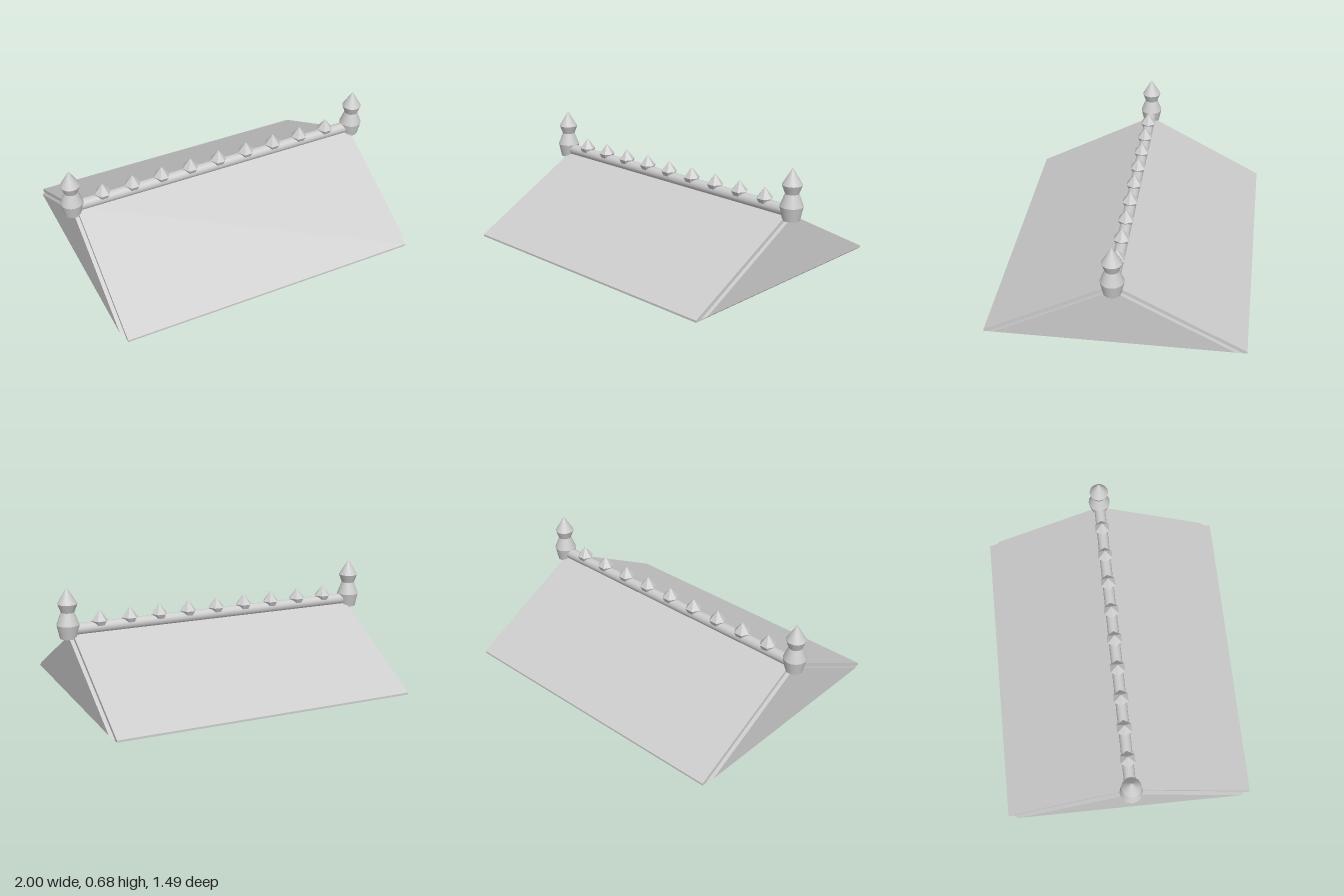
import * as THREE from 'three';

const stone = new THREE.MeshStandardMaterial({ color: 0xcccccc });
stone.name = 'pale grey stone';
const flatStone = stone.clone();
flatStone.flatShading = true;
flatStone.name = 'pale grey stone, faceted';

function addMesh(parent, name, geometry, material = stone) {
  const mesh = new THREE.Mesh(geometry, material);
  mesh.name = name;
  parent.add(mesh);
  return mesh;
}

// Joins matching [z, y] outlines, placed at rising x, into a closed faceted solid
function loft(sections) {
  const pos = [];
  const tri = (...pts) => pts.forEach((p) => pos.push(...p));
  const rings = sections.map(([x, pts]) => pts.map(([z, y]) => [x, y, z]));
  const n = rings[0].length;
  for (let s = 0; s < rings.length - 1; s++) {
    for (let i = 0; i < n; i++) {
      const j = (i + 1) % n;
      const a = rings[s][i], b = rings[s][j], c = rings[s + 1][j], d = rings[s + 1][i];
      tri(a, b, c);
      tri(a, c, d);
    }
  }
  const first = rings[0], last = rings[rings.length - 1];
  for (let i = 1; i < n - 1; i++) {
    tri(last[0], last[i], last[i + 1]);
    tri(first[0], first[i + 1], first[i]);
  }
  const g = new THREE.BufferGeometry();
  g.setAttribute('position', new THREE.Float32BufferAttribute(pos, 3));
  g.computeVertexNormals();
  return g;
}

// Stacks sharp-edged rings from a [radius, y] profile, closed at the bottom
function turned(parent, name, profile, sides, material, turn = 0) {
  const group = new THREE.Group();
  group.name = name;
  for (let i = 0; i < profile.length - 1; i++) {
    const [r0, y0] = profile[i], [r1, y1] = profile[i + 1];
    const g = new THREE.CylinderGeometry(r1, r0, y1 - y0, sides, 1, i > 0);
    g.rotateY(turn);
    g.translate(0, (y0 + y1) / 2, 0);
    addMesh(group, name + 'Ring', g, material);
  }
  parent.add(group);
  return group;
}

export function createModel() {
  const roof = new THREE.Group();
  roof.name = 'gableRoof';

  // Roof slopes with a thin upright eave edge
  const slope = [[0.743, 0], [-0.743, 0], [-0.743, 0.012], [0, 0.409], [0.743, 0.012]];
  addMesh(roof, 'roofSlopes', loft([[-0.91, slope], [0.91, slope]]));

  // Gable walls stand slightly proud of the slopes, with a chamfered foot
  const inner = [[0.712, 0.004], [-0.712, 0.004], [0, 0.385]];
  const outer = [[0.68, 0.0211], [-0.68, 0.0211], [0, 0.385]];
  addMesh(roof, 'leftGable', loft([[0.9, inner], [0.912, inner], [0.933, outer]]));
  addMesh(roof, 'rightGable', loft([[-0.933, outer], [-0.912, inner], [-0.9, inner]]));

  // Ridge roll
  const ridge = new THREE.CylinderGeometry(0.034, 0.034, 1.86, 16);
  ridge.rotateZ(Math.PI / 2);
  ridge.translate(0, 0.423, 0);
  addMesh(roof, 'ridgeRoll', ridge);

  // Row of small faceted crests
  for (let i = -4; i <= 4; i++) {
    const crest = turned(roof, 'ridgeCrest',
      [[0.024, 0.41], [0.05, 0.462], [0, 0.525]], 6, flatStone, Math.PI / 6);
    crest.position.x = i * 0.186;
  }

  // Finials at both ends
  for (const side of [1, -1]) {
    const finial = turned(roof, side > 0 ? 'leftFinial' : 'rightFinial',
      [[0.05, 0.377], [0.067, 0.457], [0.039, 0.53], [0.058, 0.58], [0, 0.677]], 16, stone);
    finial.position.x = side * 0.933;
  }
  return roof;
}
